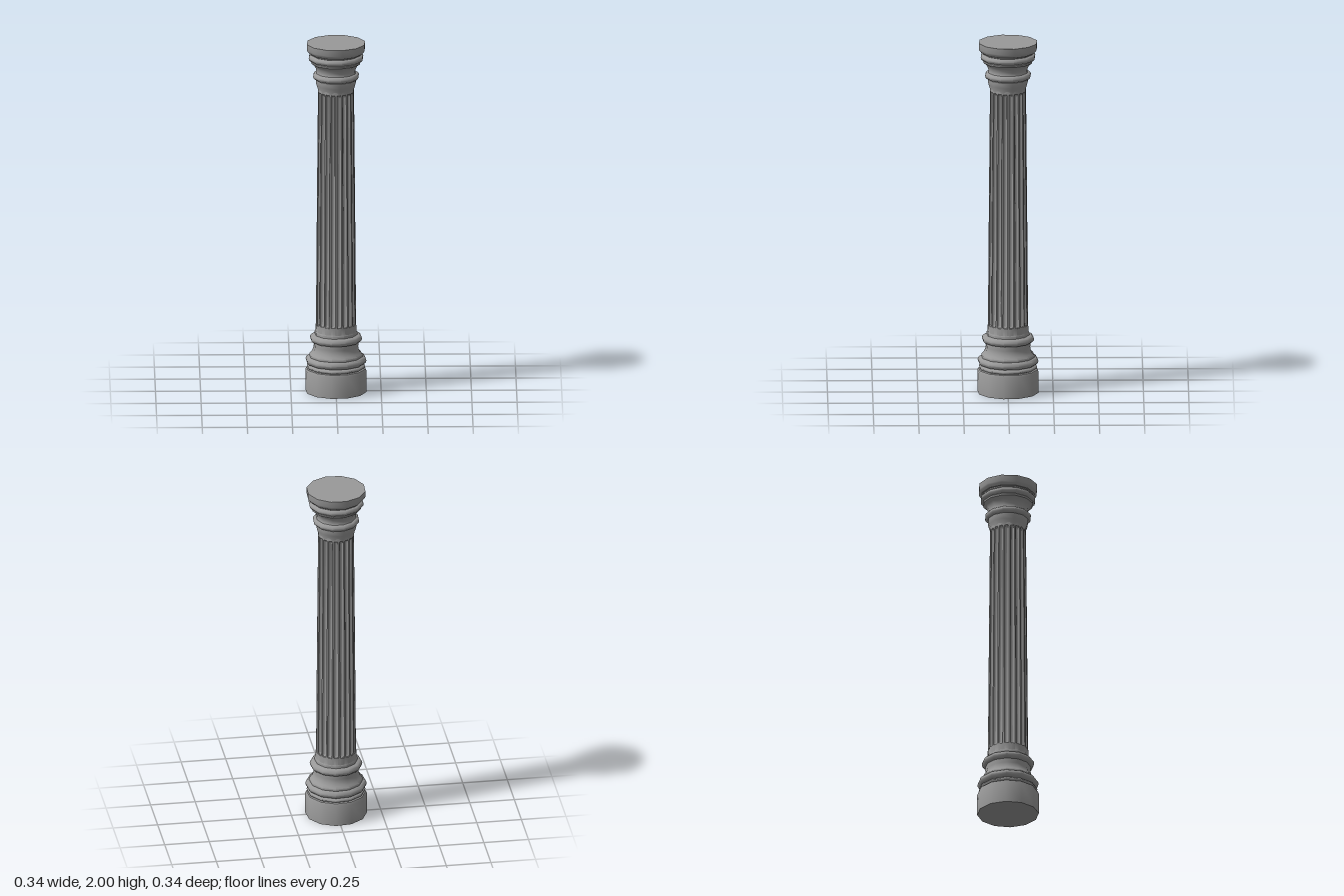
import * as THREE from 'three';
import { toCreasedNormals } from 'three/addons/utils/BufferGeometryUtils.js';

const material = new THREE.MeshStandardMaterial({ color: 0x999999 });
const SIDES = 12;
const FLUTES = 20;

// Half-round moulding: profile points bulging out to radius r, centred on height y
function bead(r, y, half, bulge = half) {
  const points = [];
  for (let i = 0; i <= 6; i++) {
    const a = -Math.PI / 2 + (i / 6) * Math.PI;
    points.push([r - bulge + Math.cos(a) * bulge, y + Math.sin(a) * half]);
  }
  return points;
}

function turned(name, profile, turnDegrees) {
  const points = profile.map(([r, y]) => new THREE.Vector2(r, y));
  const lathe = new THREE.LatheGeometry(points, SIDES, THREE.MathUtils.degToRad(turnDegrees));
  const mesh = new THREE.Mesh(toCreasedNormals(lathe, 0.7), material);
  mesh.name = name;
  return mesh;
}

// Tapered shaft whose flutes are pressed into a plain lathe
function flutedShaft() {
  const rows = [[0.113, 0.34], [0.111, 0.385], [0.111, 0.392], [0.111, 0.40], [0.106, 1.05],
    [0.100, 1.705], [0.100, 1.715], [0.100, 1.723], [0.099, 1.745]];
  const press = [0, 0, 0.7, 1, 1, 1, 0.7, 0, 0];
  const perFlute = 8;
  const geometry = new THREE.LatheGeometry(
    rows.map(([r, y]) => new THREE.Vector2(r, y)), FLUTES * perFlute);
  const position = geometry.attributes.position;
  for (let i = 0; i < position.count; i++) {
    const row = i % rows.length;
    const column = Math.floor(i / rows.length) % perFlute;
    const t = (column - perFlute / 2) / 3;
    const depth = 0.013 * press[row] * Math.sqrt(Math.max(0, 1 - t * t));
    const k = 1 - depth / rows[row][0];
    position.setX(i, position.getX(i) * k);
    position.setZ(i, position.getZ(i) * k);
  }
  const mesh = new THREE.Mesh(toCreasedNormals(geometry, 0.6), material);
  mesh.name = 'flutedShaft';
  return mesh;
}

export function createModel() {
  const column = new THREE.Group();
  column.name = 'column';

  // Round plinth
  column.add(turned('plinth', [[0, 0], [0.171, 0], [0.171, 0.122], [0.165, 0.133], [0.145, 0.136], [0, 0.136]], 21));

  // Base mouldings: thin ring, large torus, hollow, upper torus and collar
  column.add(turned('baseMouldings', [
    [0.145, 0.130],
    ...bead(0.163, 0.146, 0.010),
    ...bead(0.170, 0.181, 0.021),
    [0.150, 0.204], [0.148, 0.214], [0.136, 0.226], [0.128, 0.243], [0.124, 0.262], [0.127, 0.280],
    ...bead(0.146, 0.306, 0.020),
    [0.119, 0.328], [0.119, 0.342], [0.115, 0.348], [0.113, 0.388], [0.10, 0.388],
  ], 21));

  column.add(flutedShaft());

  // Capital mouldings: flared neck, ring, hollow bell and upper ring
  column.add(turned('capitalMouldings', [
    [0.09, 1.725], [0.101, 1.725], [0.103, 1.742], [0.109, 1.760], [0.114, 1.778], [0.114, 1.792],
    ...bead(0.130, 1.812, 0.018),
    [0.111, 1.832], [0.111, 1.848], [0.115, 1.862], [0.123, 1.876], [0.139, 1.888], [0.141, 1.898],
    ...bead(0.155, 1.918, 0.017),
    [0.142, 1.938], [0.142, 1.952],
  ], 12));

  // Round abacus on top
  column.add(turned('abacus', [[0, 1.945], [0.150, 1.945], [0.161, 1.957], [0.165, 1.966], [0.165, 2], [0, 2]], 12));

  return column;
}
